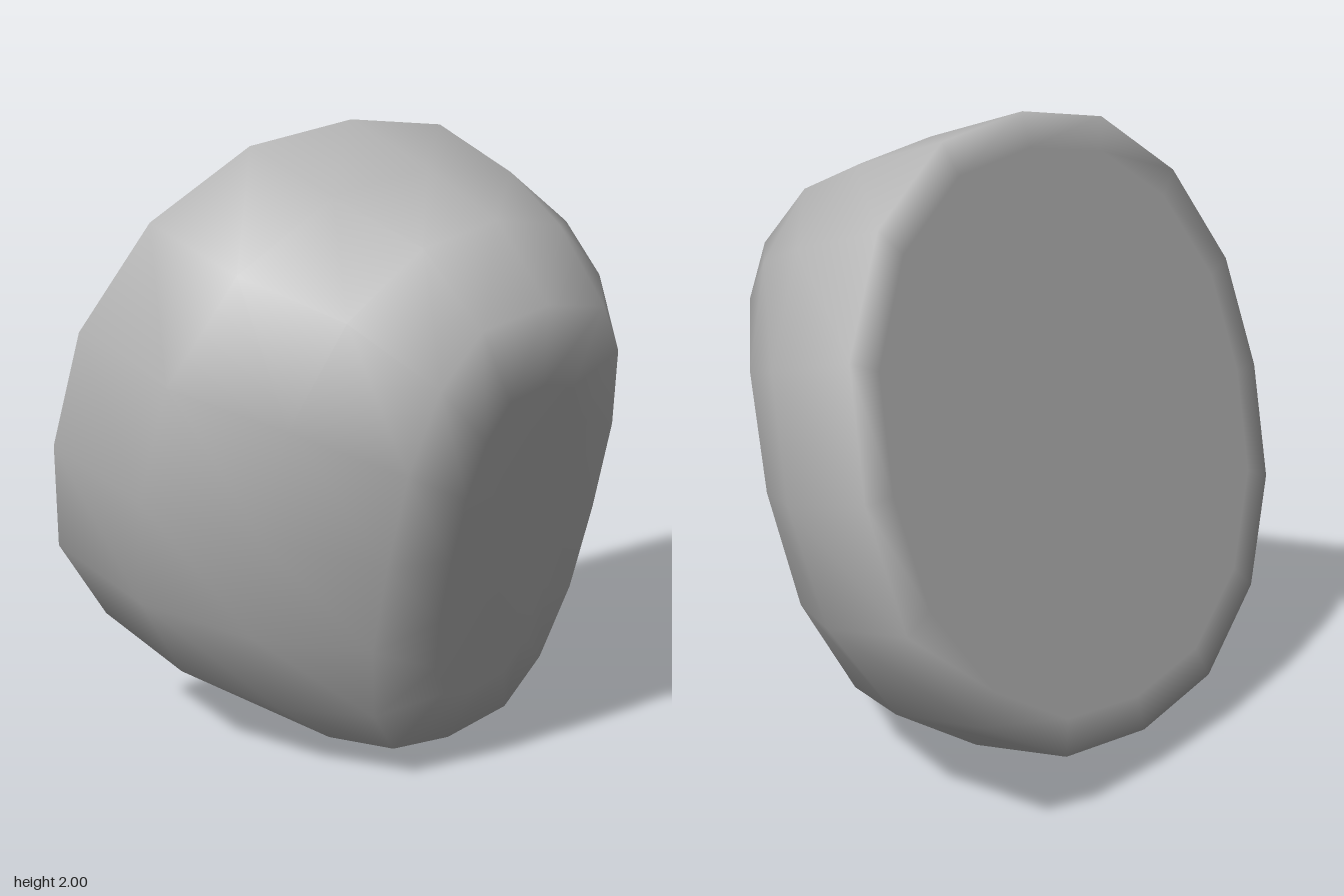
import * as THREE from 'three';

const SIDES = 16;
// Cross-sections from the flat back to the nose: half width, half height, depth, squareness
const RINGS = [
  [0.85, 0.85, 0, 1],
  [0.958, 0.958, 0, 1],
  [0.89, 0.95, 0.38, 1],
  [0.68, 0.92, 0.7, 1],
  [0.42, 0.775, 0.965, 0.62],
  [0.22, 0.545, 1.02, 0.62],
];
const DENT_DEPTH = 0.975;

// One loop of points, slightly fuller on the diagonals
function loop([w, h, d, power]) {
  const points = [];
  for (let j = 0; j < SIDES; j++) {
    const a = (j / SIDES) * Math.PI * 2;
    const full = 1 + 0.035 * Math.abs(Math.sin(2 * a));
    const c = Math.cos(a);
    const x = Math.abs(c) < 1e-6 ? 0 : Math.sign(c) * Math.abs(c) ** power;
    points.push(w * x * full, h * Math.sin(a) * full, d);
  }
  return points;
}

// Closed, smoothly shaded skin over the loops, with a fan at the back and at the nose
function bodyGeometry() {
  const positions = RINGS.flatMap(loop);
  const back = positions.length / 3;
  const nose = back + 1;
  positions.push(0, 0, 0, 0, 0, DENT_DEPTH);

  const index = [];
  const last = (RINGS.length - 1) * SIDES;
  for (let j = 0; j < SIDES; j++) {
    const k = (j + 1) % SIDES;
    for (let i = 0; i < RINGS.length - 1; i++) {
      const a = i * SIDES + j, b = i * SIDES + k;
      index.push(a, b, b + SIDES, a, b + SIDES, a + SIDES);
    }
    index.push(back, k, j);
    index.push(last + j, last + k, nose);
  }

  const geometry = new THREE.BufferGeometry();
  geometry.setAttribute('position', new THREE.Float32BufferAttribute(positions, 3));
  geometry.setIndex(index);
  geometry.computeVertexNormals();
  return geometry;
}

export function createModel() {
  const group = new THREE.Group();
  group.name = 'roundedCap';

  const grey = new THREE.MeshStandardMaterial({ color: 0xb4b4b4 });
  grey.name = 'grey';

  // Domed body with a flat back, leaning forward
  const body = new THREE.Mesh(bodyGeometry(), grey);
  body.name = 'domedBody';
  body.rotation.x = 0.264;
  body.position.set(0, 1.075, -0.44);
  group.add(body);

  return group;
}
